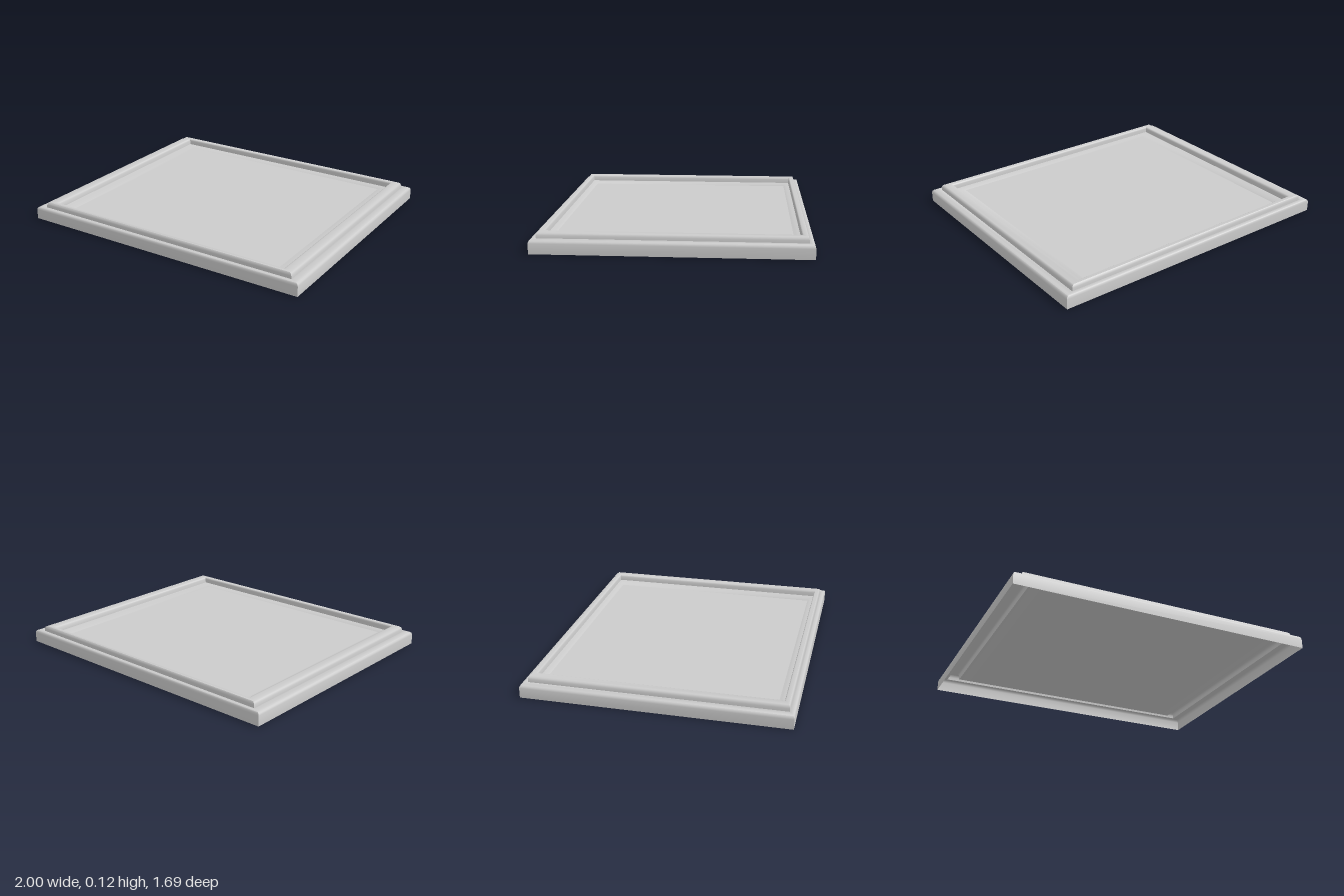
import * as THREE from 'three';
import { toCreasedNormals } from 'three/addons/utils/BufferGeometryUtils.js';

const HALF_X = 1, HALF_Z = 0.845, Z_INSET = 0.56; // the border is narrower along z
const PANEL_INSET = 0.205, PANEL_Y = 0.065;

// Moulding profiles as [inset from the outer edge, height], outside to inside
const outerRim = [[0, 0], [0, 0.065], [0.004, 0.076], [0.012, 0.083], [0.025, 0.086], [0.048, 0.086], [0.06, 0.081]];
const raisedBead = [[0.06, 0.081], [0.062, 0.1], [0.067, 0.112], [0.077, 0.118], [0.118, 0.118], [0.128, 0.114], [0.133, 0.104], [0.136, 0.078]];
const innerLedge = [[0.136, 0.078], [0.155, 0.076], [0.18, 0.072], [PANEL_INSET, PANEL_Y]];

// Four corners of the rectangle at a given inset, anticlockwise from above
function ring([inset, y]) {
  const x = HALF_X - inset, z = HALF_Z - inset * Z_INSET;
  return [[-x, y, z], [x, y, z], [x, y, -z], [-x, y, -z]];
}

// Sweeps a profile round the rectangle with mitred corners
function mouldingGeometry(profile) {
  const positions = [];
  for (let i = 0; i < profile.length - 1; i++) {
    const outer = ring(profile[i]), inner = ring(profile[i + 1]);
    for (let s = 0; s < 4; s++) {
      const n = (s + 1) % 4;
      positions.push(...outer[s], ...outer[n], ...inner[n], ...outer[s], ...inner[n], ...inner[s]);
    }
  }
  const geometry = new THREE.BufferGeometry();
  geometry.setAttribute('position', new THREE.Float32BufferAttribute(positions, 3));
  return toCreasedNormals(geometry, 0.75);
}

export function createModel() {
  const group = new THREE.Group();
  group.name = 'panelledFrame';
  const material = new THREE.MeshStandardMaterial({ color: 0xcccccc, side: THREE.DoubleSide });

  const add = (name, geometry) => {
    const mesh = new THREE.Mesh(geometry, material);
    mesh.name = name;
    group.add(mesh);
    return mesh;
  };

  // Stepped border, open underneath
  add('outerRim', mouldingGeometry(outerRim));
  add('raisedBead', mouldingGeometry(raisedBead));
  add('innerLedge', mouldingGeometry(innerLedge));

  // Sunken flat panel
  const panel = new THREE.PlaneGeometry(2 * (HALF_X - PANEL_INSET), 2 * (HALF_Z - PANEL_INSET * Z_INSET));
  panel.rotateX(-Math.PI / 2);
  add('panel', panel).position.y = PANEL_Y;

  return group;
}
